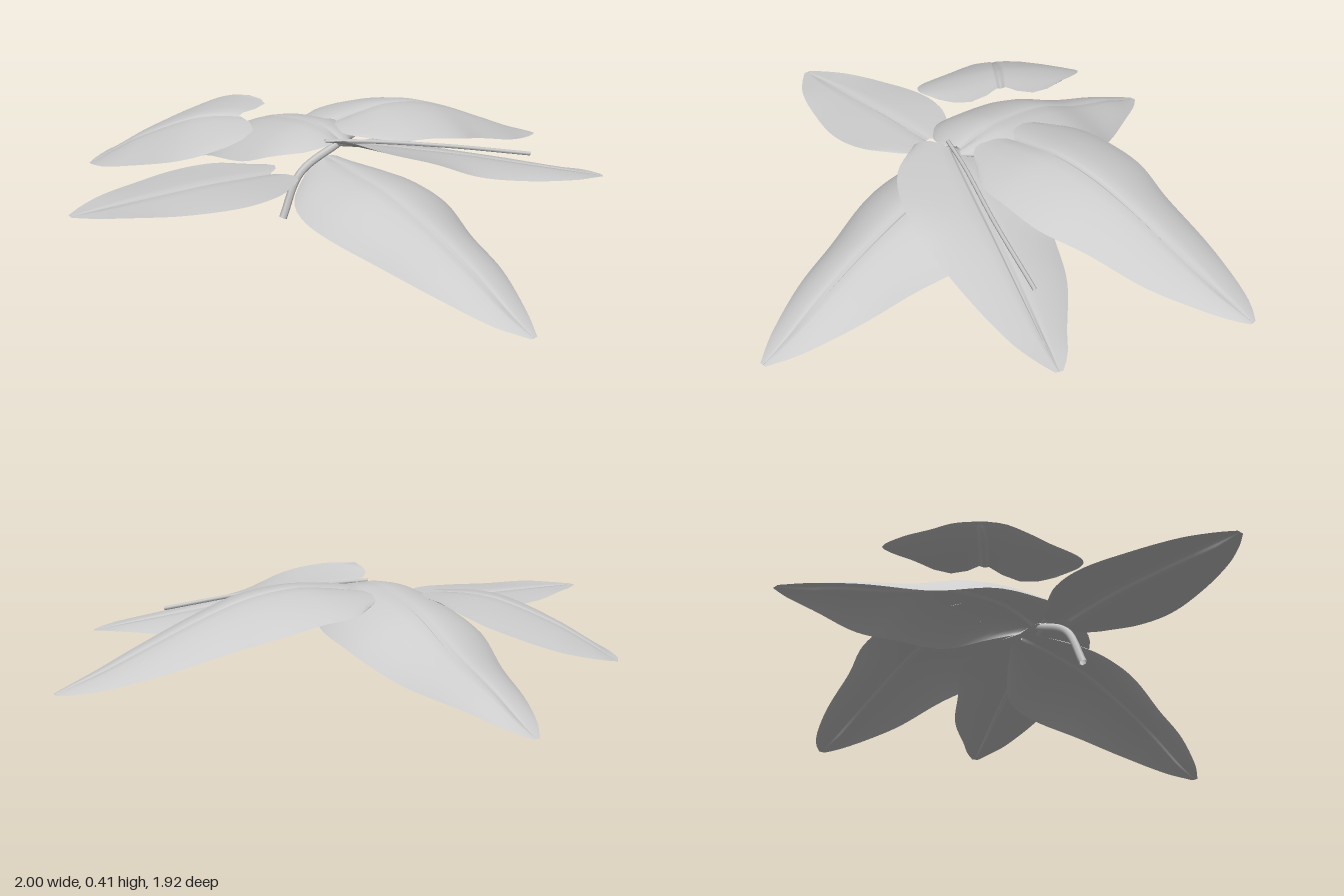
import * as THREE from 'three';

const leafMat = new THREE.MeshStandardMaterial({ color: 0xcccccc, side: THREE.DoubleSide });
leafMat.name = 'paleGrey';

// Smooth interpolation of a table of rows [t, ...values]
function sampleRows(rows, t) {
  let k = 0;
  while (k < rows.length - 2 && t > rows[k + 1][0]) k++;
  const a = rows[k], b = rows[k + 1];
  const h = b[0] - a[0], f = (t - a[0]) / h;
  const prev = rows[Math.max(k - 1, 0)], next = rows[Math.min(k + 2, rows.length - 1)];
  return a.slice(1).map((v, n) => {
    const i = n + 1;
    const m0 = (b[i] - prev[i]) / (b[0] - prev[0]) * h;
    const m1 = (next[i] - a[i]) / (next[0] - a[0]) * h;
    const f2 = f * f, f3 = f2 * f;
    return (2 * f3 - 3 * f2 + 1) * v + (f3 - 2 * f2 + f) * m0
      + (3 * f2 - 2 * f3) * b[i] + (f3 - f2) * m1;
  });
}

// Leaf blade: base and tip in plan [x, z]; tilt lowers the plus side; rows are
// [t, midrib height, half width on plus side, half width on minus side, edge droop]
function makeLeaf(name, base, tip, lobe, tilt, rows) {
  const dx = tip[0] - base[0], dz = tip[1] - base[1];
  const len = Math.hypot(dx, dz), ux = dx / len, uz = dz / len;
  const half = [0.035, 0.07, 0.25, 0.5, 0.75, 0.9, 1];
  const cols = [...half.map((u) => -u).reverse(), 0, ...half];
  const steps = 32, pos = [], index = [];
  for (let i = 0; i <= steps; i++) {
    const t = i / steps;
    const [y, wPlus, wMinus, droop] = sampleRows(rows, t);
    for (const u of cols) {
      const a = Math.abs(u);
      const across = u * Math.max(u > 0 ? wPlus : wMinus, 0.004);
      // rounded lobes reach back past the stalk
      const along = t * len - lobe * Math.pow(1 - t, 5) * Math.sin(Math.PI * a);
      // narrow groove along the midrib
      const groove = 0.014 * Math.max(0, 1 - a / 0.07) * Math.min(1, (1 - t) * 8);
      pos.push(
        base[0] + ux * along + uz * across,
        y - droop * Math.pow(a, 2.2) - tilt * u * (1 - t) - groove,
        base[1] + uz * along - ux * across
      );
    }
  }
  const n = cols.length;
  for (let i = 0; i < steps; i++) {
    for (let j = 0; j < n - 1; j++) {
      const p = i * n + j;
      index.push(p, p + n, p + 1, p + 1, p + n, p + n + 1);
    }
  }
  const geo = new THREE.BufferGeometry();
  geo.setAttribute('position', new THREE.Float32BufferAttribute(pos, 3));
  geo.setIndex(index);
  geo.computeVertexNormals();
  const mesh = new THREE.Mesh(geo, leafMat);
  mesh.name = name;
  return mesh;
}

function makeStem(name, points, radius) {
  const curve = new THREE.CatmullRomCurve3(points.map((p) => new THREE.Vector3(...p)));
  const mesh = new THREE.Mesh(new THREE.TubeGeometry(curve, 16, radius, 6), leafMat);
  mesh.name = name;
  return mesh;
}

export function createModel() {
  const group = new THREE.Group();
  group.name = 'leafCluster';

  group.add(
    makeLeaf('leftLeaf', [0.03, -0.085], [1, -0.09], 0.085, 0, [
      [0, 0.39, 0.18, 0.19, 0.025], [0.08, 0.405, 0.245, 0.245, 0.05], [0.2, 0.417, 0.258, 0.262, 0.07],
      [0.35, 0.4, 0.257, 0.262, 0.08], [0.5, 0.355, 0.21, 0.21, 0.075], [0.7, 0.275, 0.165, 0.16, 0.05],
      [0.85, 0.213, 0.113, 0.095, 0.025], [0.95, 0.178, 0.06, 0.045, 0.01], [1, 0.16, 0.012, 0.012, 0],
    ]),
    makeLeaf('frontLeaf', [-0.09, 0], [-0.05, 0.957], 0, 0, [
      [0, 0.3, 0.05, 0.06, 0.01], [0.1, 0.293, 0.17, 0.2, 0.07], [0.2, 0.285, 0.25, 0.24, 0.095],
      [0.33, 0.268, 0.265, 0.235, 0.105], [0.53, 0.21, 0.2, 0.185, 0.09], [0.72, 0.138, 0.15, 0.14, 0.055],
      [0.905, 0.05, 0.07, 0.07, 0.015], [1, 0.015, 0.012, 0.012, 0],
    ]),
    makeLeaf('backLeaf', [-0.08, 0.06], [-0.12, -0.965], 0.03, 0, [
      [0, 0.375, 0.14, 0.04, 0.02], [0.08, 0.395, 0.21, 0.14, 0.06], [0.18, 0.4, 0.255, 0.24, 0.1],
      [0.4, 0.36, 0.25, 0.25, 0.1], [0.6, 0.275, 0.19, 0.185, 0.08], [0.8, 0.205, 0.12, 0.11, 0.04],
      [0.93, 0.15, 0.06, 0.055, 0.01], [1, 0.125, 0.012, 0.012, 0],
    ]),
    makeLeaf('rightLeaf', [-0.32, 0.01], [-1, 0.01], 0.06, 0, [
      [0, 0.287, 0.14, 0.12, 0], [0.15, 0.297, 0.215, 0.175, 0], [0.35, 0.305, 0.227, 0.197, 0.01],
      [0.6, 0.305, 0.18, 0.16, 0.01], [0.8, 0.303, 0.125, 0.1, 0],
      [0.93, 0.301, 0.06, 0.05, 0], [1, 0.3, 0.012, 0.012, 0],
    ]),
    makeLeaf('frontLeftLeaf', [-0.1, 0.09], [0.74, 0.5], 0.04, 0.045, [
      [0, 0.375, 0.08, 0.13, 0], [0.12, 0.362, 0.17, 0.22, 0], [0.28, 0.338, 0.22, 0.245, 0.005],
      [0.45, 0.31, 0.2, 0.21, 0.035], [0.65, 0.27, 0.165, 0.16, 0.03],
      [0.86, 0.228, 0.08, 0.095, 0.01], [0.95, 0.21, 0.045, 0.05, 0], [1, 0.2, 0.012, 0.012, 0],
    ]),
    makeLeaf('backRightLeaf', [-0.25, -0.31], [-0.65, -0.67], 0.08, 0.03, [
      [0, 0.4, 0.23, 0.22, 0.02], [0.15, 0.4, 0.3, 0.285, 0.035], [0.32, 0.383, 0.295, 0.305, 0.045],
      [0.64, 0.315, 0.19, 0.225, 0.04], [0.83, 0.26, 0.125, 0.135, 0.02],
      [0.95, 0.222, 0.065, 0.07, 0], [1, 0.21, 0.02, 0.02, 0],
    ])
  );

  // Main stalk and the thin shoot lying over the front left leaf
  group.add(
    makeStem('mainStalk', [[-0.31, 0.15, 0.07], [-0.24, 0.29, 0.07], [-0.09, 0.37, 0.08]], 0.013),
    makeStem('thinShoot', [[-0.14, 0.38, 0.07], [0, 0.368, 0.13], [0.25, 0.335, 0.25], [0.52, 0.285, 0.36]], 0.007)
  );
  return group;
}
